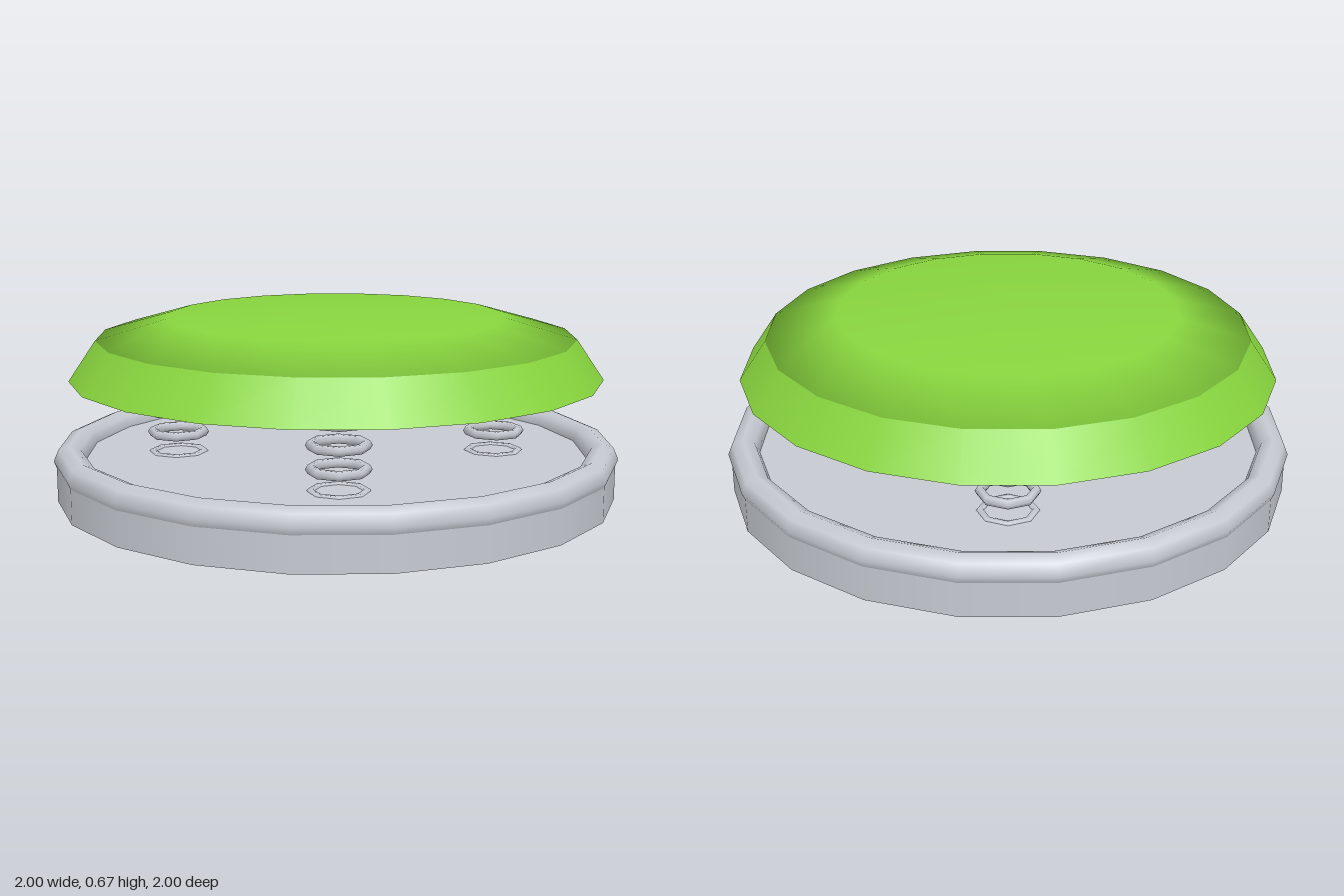
import * as THREE from 'three';

export function createModel() {
  const root = new THREE.Group();
  root.name = 'springButton';
  const green = new THREE.MeshStandardMaterial({ name: 'green', color: 0x88d53e });
  const grey = new THREE.MeshStandardMaterial({ name: 'light grey', color: 0xc6cad1 });
  const SIDES = 20;

  const add = (name, geometry, material, y, parent = root) => {
    const mesh = new THREE.Mesh(geometry, material);
    mesh.name = name;
    mesh.position.y = y;
    parent.add(mesh);
    return mesh;
  };

  // Lies flat around the y axis, with a corner on +x
  const ring = (radius, tube, tubeSides, sides) =>
    new THREE.TorusGeometry(radius, tube, tubeSides, sides).rotateX(-Math.PI / 2);

  // Base plate with its raised rounded rim
  add('basePlate', new THREE.CylinderGeometry(0.99, 0.99, 0.145, SIDES), grey, 0.0725);
  add('baseRim', ring(0.945, 0.055, 8, SIDES), grey, 0.145);

  // Four springs, each a stack of separate coils
  for (const x of [-0.4, 0.4]) {
    for (const z of [-0.4, 0.4]) {
      const spring = new THREE.Group();
      spring.name = 'spring';
      spring.position.set(x, 0, z);
      for (let i = 0; i < 4; i++) {
        add('coil', ring(0.092, 0.017, 6, 8), grey, 0.137 + i * 0.08, spring);
      }
      root.add(spring);
    }
  }

  // Push cap: tapered skirt topped by a flattened dome
  add('capSkirt', new THREE.CylinderGeometry(0.845, 0.94, 0.14, SIDES), green, 0.497);
  const dome = new THREE.SphereGeometry(0.845, SIDES, 2, 0, Math.PI * 2, 0, Math.PI / 2);
  add('capDome', dome, green, 0.567).scale.y = 0.1 / 0.845;

  return root;
}
